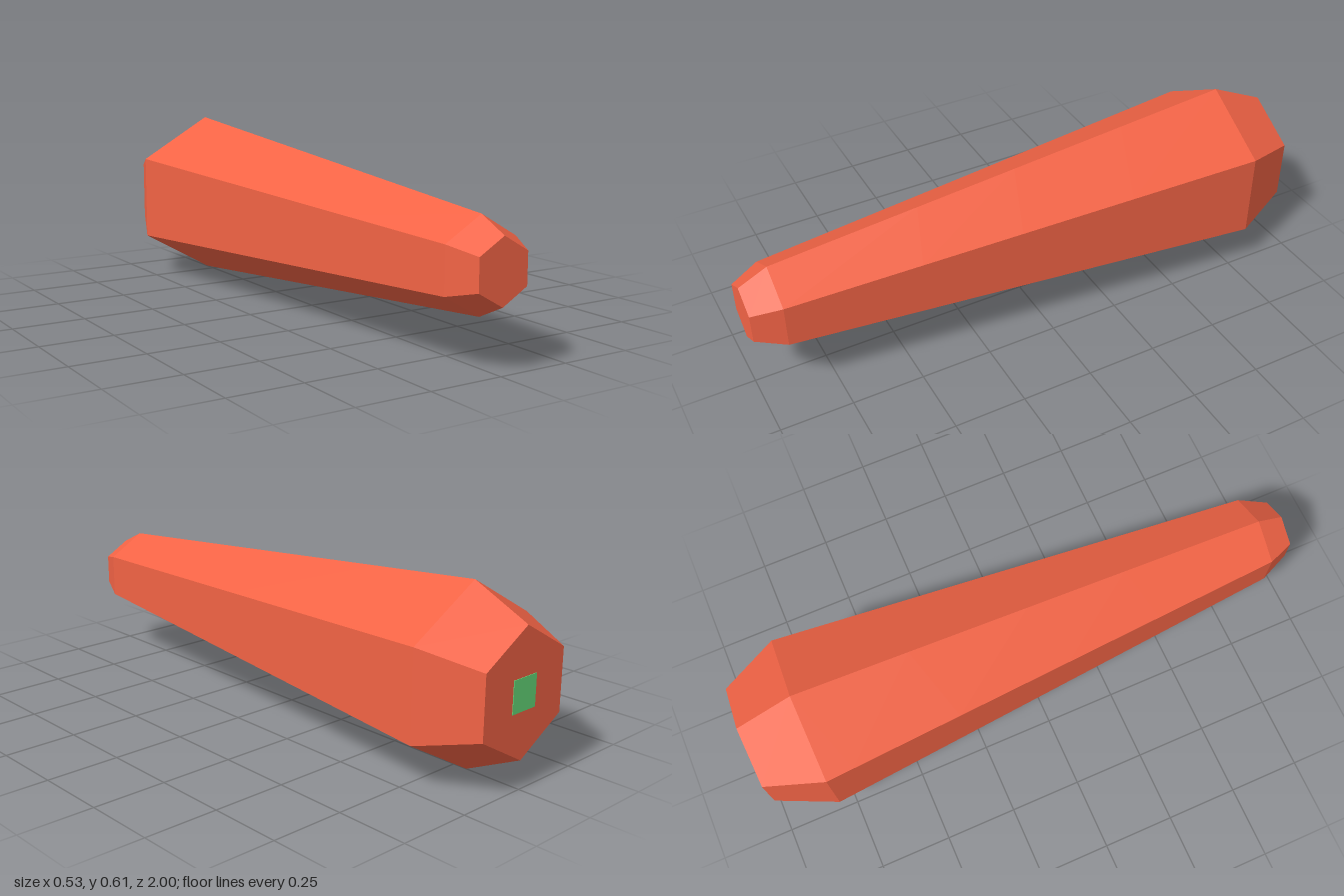
import * as THREE from 'three';

const CENTER_Y = 0.304;
const SIDES = 6;
const TILT = 0.59; // how far the slanted cuts lean along z per unit of height

// Hexagonal ring at right angles to the axis, one corner pointing up
function straightRing(z, r) {
  return Array.from({ length: SIDES }, (_, i) => {
    const a = (i / SIDES) * Math.PI * 2;
    return new THREE.Vector3(Math.sin(a) * r, Math.cos(a) * r, z);
  });
}

// Hexagonal ring where a slanted plane through z0 meets the tapering body
function slantedRing(z0) {
  return Array.from({ length: SIDES }, (_, i) => {
    const a = (i / SIDES) * Math.PI * 2;
    const c = Math.cos(a);
    const r = (0.232 - 0.09 * z0) / (1 - 0.09 * TILT * c);
    return new THREE.Vector3(Math.sin(a) * r, c * r, z0 - TILT * c * r);
  });
}

// Closed solid through rings ordered from back to front
function loft(rings) {
  const pos = [];
  const tri = (...pts) => pts.forEach((p) => pos.push(p.x, p.y, p.z));
  const middle = (ring) => ring.reduce((s, p) => s.add(p), new THREE.Vector3()).divideScalar(SIDES);
  const back = rings[0];
  const front = rings[rings.length - 1];
  const backMid = middle(back);
  const frontMid = middle(front);
  for (let i = 0; i < SIDES; i++) {
    const j = (i + 1) % SIDES;
    for (let k = 0; k < rings.length - 1; k++) {
      const a = rings[k];
      const b = rings[k + 1];
      tri(a[i], b[i], b[j]);
      tri(a[i], b[j], a[j]);
    }
    tri(backMid, back[i], back[j]);
    tri(frontMid, front[j], front[i]);
  }
  const geometry = new THREE.BufferGeometry();
  geometry.setAttribute('position', new THREE.Float32BufferAttribute(pos, 3));
  geometry.computeVertexNormals();
  return geometry;
}

export function createModel() {
  const group = new THREE.Group();
  group.name = 'carrot';
  const orange = new THREE.MeshStandardMaterial({ color: 0xf26345, flatShading: true });
  const green = new THREE.MeshStandardMaterial({ color: 0x66d97a, flatShading: true });

  // Body cut into slanted slices, from the thick end to the tip
  const cuts = [-0.618, -0.242, 0.156, 0.497].map(slantedRing);
  const slices = {
    crownSlice: [straightRing(-1, 0.21), straightRing(-0.8, 0.304), cuts[0]],
    upperSlice: [cuts[0], cuts[1]],
    middleSlice: [cuts[1], cuts[2]],
    lowerSlice: [cuts[2], cuts[3]],
    tipSlice: [cuts[3], straightRing(0.9, 0.151), straightRing(1, 0.103)],
  };
  for (const [name, rings] of Object.entries(slices)) {
    const slice = new THREE.Mesh(loft(rings), orange);
    slice.name = name;
    slice.position.y = CENTER_Y;
    group.add(slice);
  }

  // Trimmed stem, nearly flush with the crown
  const stem = new THREE.Mesh(new THREE.BoxGeometry(0.106, 0.106, 0.1), green);
  stem.name = 'stem';
  stem.position.set(0, CENTER_Y, -0.952);
  group.add(stem);

  return group;
}
